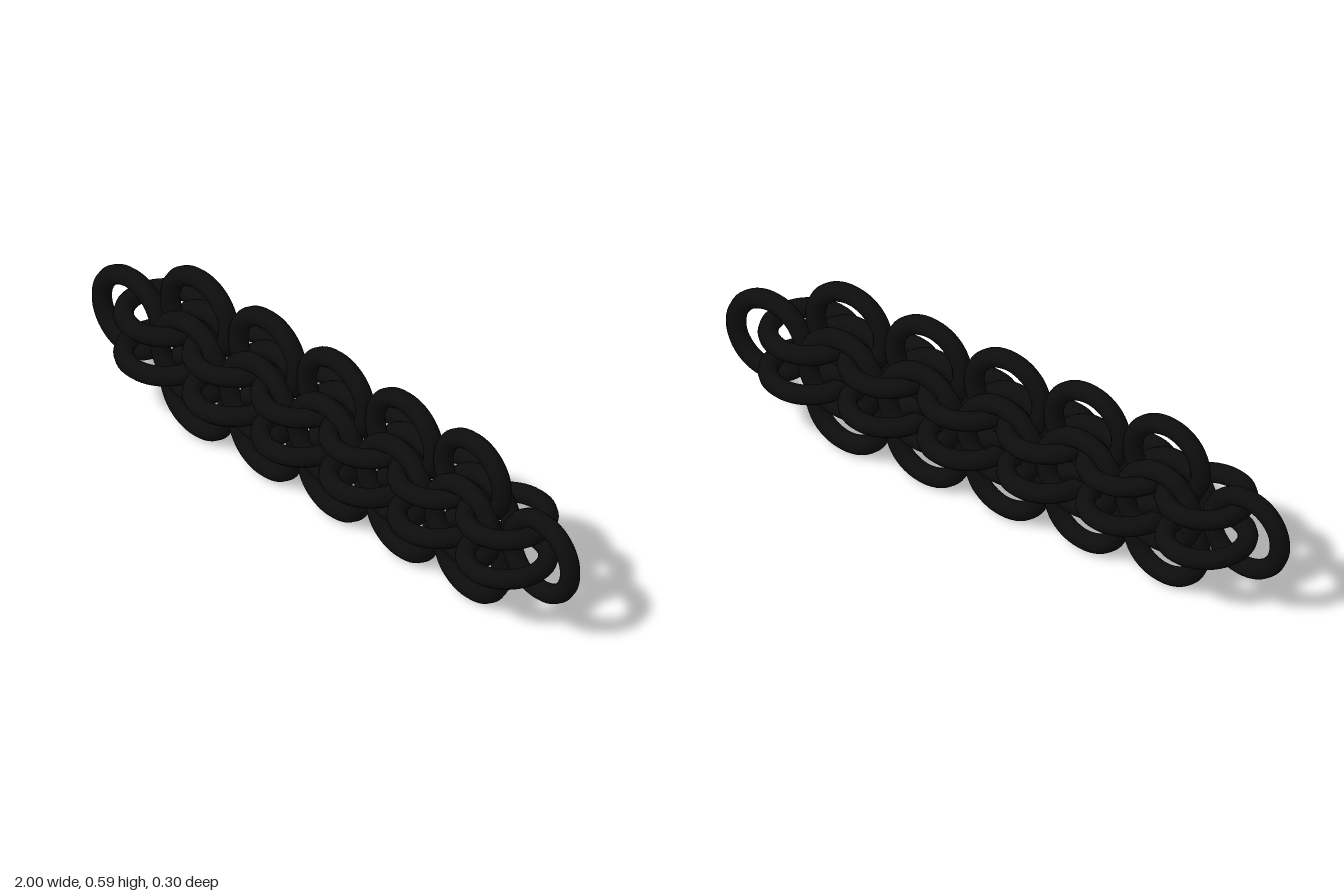
import * as THREE from 'three';

// A woven chain of identical round links
const RING = 0.121, WIRE = 0.03, STEP = 0.283, MID = 0.295;

export function createModel() {
  const group = new THREE.Group();
  group.name = 'linkChain';
  const material = new THREE.MeshStandardMaterial({ color: 0x0d0d0d });
  const upright = new THREE.TorusGeometry(RING, WIRE, 12, 48);
  const flat = upright.clone().rotateX(Math.PI / 2);

  const addRing = (name, geometry, x, y, z) => {
    const ring = new THREE.Mesh(geometry, material);
    ring.name = name;
    ring.position.set(x, y, z);
    group.add(ring);
  };

  // Five columns of upright links: upper and lower edge, front and back core
  for (let i = -2; i <= 2; i++) {
    const x = i * STEP;
    addRing('upperEdgeLink', upright, x, 0.436, 0);
    addRing('lowerEdgeLink', upright, x, 0.151, 0);
    addRing('frontCoreLink', upright, x, MID, 0.04);
    addRing('backCoreLink', upright, x, MID, -0.04);
  }

  // Six pairs of flat links joining the columns
  for (let i = -2.5; i <= 2.5; i++) {
    addRing('upperFlatLink', flat, i * STEP, MID + 0.07, 0);
    addRing('lowerFlatLink', flat, i * STEP, MID - 0.07, 0);
  }

  // Single closing link at each end
  for (const side of [-1, 1]) addRing('endLink', upright, side * 3 * STEP, MID, 0);

  return group;
}
